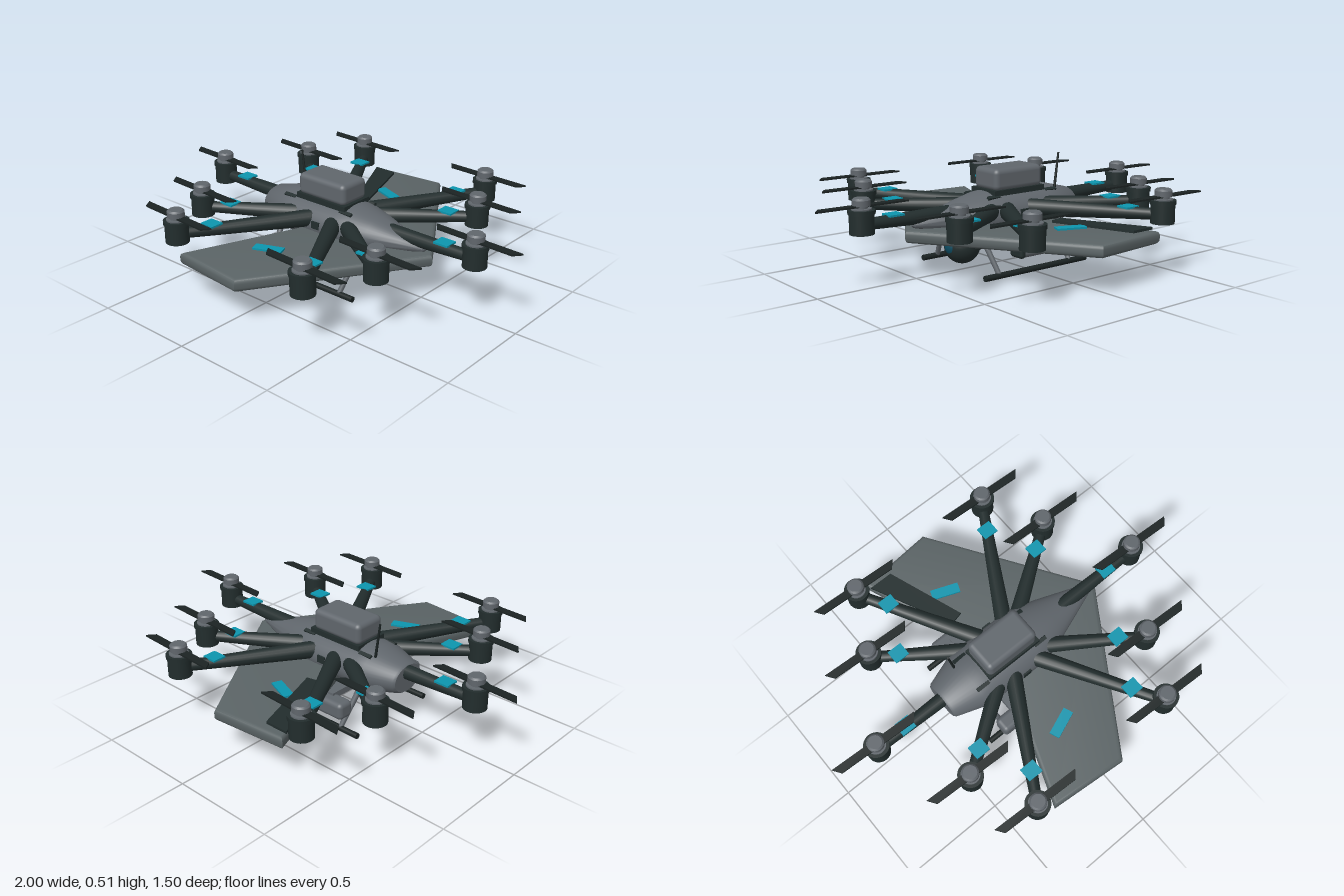
import * as THREE from 'three';
import { toCreasedNormals } from 'three/addons/utils/BufferGeometryUtils.js';
import { RoundedBoxGeometry } from 'three/addons/geometries/RoundedBoxGeometry.js';

const mat = (name, color) => Object.assign(new THREE.MeshStandardMaterial({ color }), { name });

export function createModel() {
  const model = new THREE.Group();
  model.name = 'drone';
  const grey = mat('hull grey', 0x60666c);
  const wingGrey = mat('wing grey', 0x5a6365);
  const dark = mat('dark composite', 0x222d2d);
  const black = mat('blade black', 0x1b2323);
  const teal = mat('teal accent', 0x0d95ae);
  const glass = mat('lens glass', 0x0e4c62);

  const add = (name, geo, material, x = 0, y = 0, z = 0, parent = model) => {
    const m = new THREE.Mesh(geo, material);
    m.name = name;
    m.position.set(x, y, z);
    parent.add(m);
    return m;
  };
  // tapered round bar between two points
  const bar = (name, a, b, ra, rb, material, sides = 16) => {
    const from = new THREE.Vector3(...a), to = new THREE.Vector3(...b);
    const dir = to.clone().sub(from);
    const m = add(name, new THREE.CylinderGeometry(rb, ra, dir.length(), sides), material);
    m.position.copy(from).addScaledVector(dir, 0.5);
    m.quaternion.setFromUnitVectors(new THREE.Vector3(0, 1, 0), dir.normalize());
    return m;
  };
  // outline of [x, z] points laid flat, extruded upwards
  const plate = (pts, depth, bevel = 0) => {
    const shape = new THREE.Shape(pts.map(([x, z]) => new THREE.Vector2(x, -z)));
    return new THREE.ExtrudeGeometry(shape, {
      depth: depth - 2 * bevel, bevelEnabled: bevel > 0, bevelThickness: bevel,
      bevelSize: bevel, bevelOffset: -bevel, bevelSegments: 4,
    }).rotateX(-Math.PI / 2).translate(0, bevel, 0);
  };

  // fuselage: flattened turned hull, nose along +x
  const profile = [[0, -0.405], [0.09, -0.405], [0.1, -0.395], [0.15, -0.25], [0.155, -0.2], [0.155, 0.08],
    [0.148, 0.14], [0.115, 0.25], [0.06, 0.4], [0.02, 0.51], [0, 0.525]];
  const hull = new THREE.LatheGeometry(profile.map(([r, x]) => new THREE.Vector2(r, x)), 40);
  hull.rotateZ(-Math.PI / 2).scale(1, 0.72, 1);
  add('fuselage', toCreasedNormals(hull, 0.6), grey, 0, 0.25, 0);

  // swept wing with rounded edges
  const wing = plate([[0.555, 0], [0.065, -0.75], [-0.32, -0.715], [-0.05, 0], [-0.32, 0.715], [0.065, 0.75]], 0.06, 0.02);
  add('wing', toCreasedNormals(wing, 0.6), wingGrey, 0, 0.17, 0);
  add('wingFlap', plate([[-0.31, -0.68], [-0.19, -0.68], [-0.055, -0.295], [-0.12, -0.28]], 0.012), dark, 0, 0.231, 0);
  for (const s of [-1, 1]) {
    const mark = add('wingMarking', new THREE.BoxGeometry(0.14, 0.009, 0.05), teal, -0.04, 0.235, s * 0.435);
    mark.rotation.y = s * 0.37;
  }

  // payload box and its base on the spine
  add('payloadBase', new THREE.BoxGeometry(0.3, 0.03, 0.18), dark, -0.035, 0.352, 0);
  add('payloadBox', new RoundedBoxGeometry(0.285, 0.105, 0.17, 4, 0.025), grey, -0.038, 0.413, 0);
  bar('antenna', [-0.27, 0.33, -0.07], [-0.295, 0.51, -0.07], 0.007, 0.005, black, 8);

  // hull vents
  for (const s of [-1, 1]) {
    for (const x of [-0.1, -0.01]) add('sideVent', new THREE.BoxGeometry(0.045, 0.035, 0.02), dark, x, 0.262, s * 0.148);
    for (const x of [-0.225, 0.12]) {
      const slot = add('topVent', new THREE.BoxGeometry(0.07, 0.012, 0.018), dark, x, 0.338, s * 0.088);
      slot.rotation.x = s * 0.5;
    }
  }

  // arms with rotors
  const blade = plate([[-0.225, -0.02], [-0.03, -0.02], [0.03, -0.02], [0.225, -0.02], [0.195, 0.02], [-0.195, 0.02]], 0.008);
  const addRotor = (x, z) => {
    bar('arm', [x * 0.15, 0.275, z * 0.15], [x * 0.97, 0.287, z * 0.97], 0.042, 0.026, dark);
    add('armBand', new THREE.BoxGeometry(0.075, 0.009, 0.068), teal, x * 0.793, 0.312, z * 0.793);
    const rotor = new THREE.Group();
    rotor.name = 'rotor';
    rotor.position.set(x, 0, z);
    model.add(rotor);
    const part = (name, r, y0, y1, m) =>
      add(name, new THREE.CylinderGeometry(r, r, y1 - y0, 28), m, 0, (y0 + y1) / 2, 0, rotor);
    part('motorPod', 0.055, 0.248, 0.338, dark);
    part('motorRim', 0.06, 0.336, 0.355, dark);
    part('motorCap', 0.045, 0.354, 0.361, grey);
    part('motorShaft', 0.028, 0.36, 0.372, grey);
    part('rotorHub', 0.04, 0.372, 0.398, grey);
    const crown = add('hubCrown', new THREE.CylinderGeometry(0.032, 0.04, 0.008, 28), grey, 0, 0.402, 0, rotor);
    crown.userData = {};
    add('rotorBlade', blade, black, 0, 0.367, 0, rotor).rotation.y = -0.045;
  };
  for (const s of [-1, 1]) {
    addRotor(s * 0.775, 0);
    for (const t of [-1, 1]) {
      addRotor(s * 0.535, t * 0.378);
      addRotor(s * 0.387, t * 0.668);
    }
  }

  // camera ball under the nose
  add('cameraBall', new THREE.SphereGeometry(0.085, 32, 24), dark, 0.24, 0.115, 0);
  add('cameraLens', new THREE.SphereGeometry(0.055, 28, 20), glass, 0.274, 0.117, 0);

  // side pods and landing gear
  for (const s of [-1, 1]) {
    add('sidePod', new RoundedBoxGeometry(0.375, 0.084, 0.084, 4, 0.022), grey, -0.07, 0.127, s * 0.25);
    add('podNose', new RoundedBoxGeometry(0.035, 0.086, 0.086, 4, 0.016), dark, 0.11, 0.127, s * 0.25);
    add('podMount', new THREE.BoxGeometry(0.2, 0.03, 0.17), grey, -0.07, 0.165, s * 0.16);
    bar('skid', [-0.318, 0.014, s * 0.242], [0.295, 0.014, s * 0.242], 0.014, 0.014, black);
    for (const t of [-1, 1]) {
      bar('skidStrut', [t * 0.245, 0.21, s * 0.135], [t * 0.212, 0.018, s * 0.24], 0.014, 0.012, grey, 12);
    }
  }
  return model;
}
